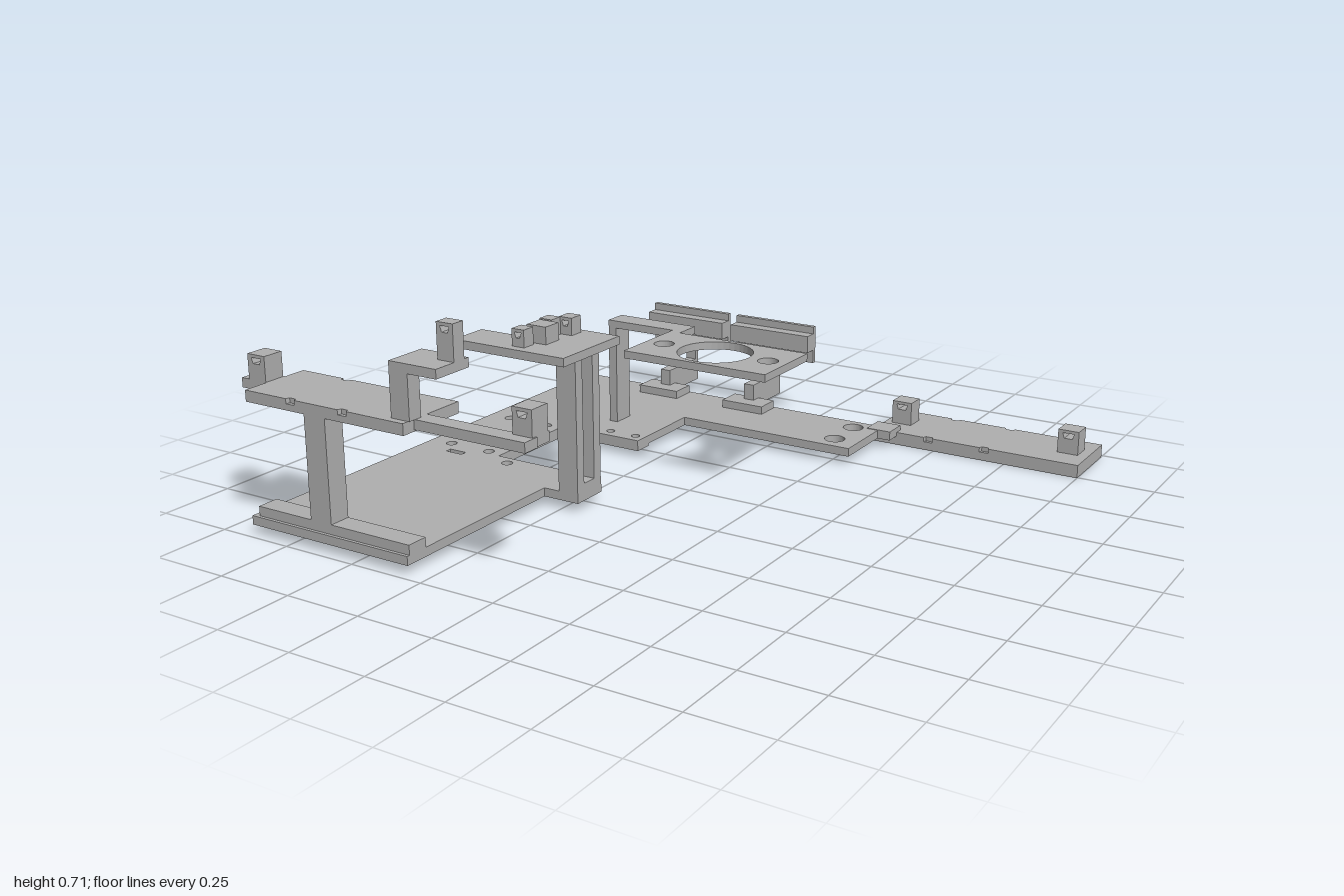
import * as THREE from 'three';

const grey = new THREE.MeshStandardMaterial({ color: 0xb0b0b0 });
grey.name = 'light grey';

// Axis-aligned block given by its limits
function block(parent, name, x0, x1, y0, y1, z0, z1) {
  const mesh = new THREE.Mesh(new THREE.BoxGeometry(x1 - x0, y1 - y0, z1 - z0), grey);
  mesh.position.set((x0 + x1) / 2, (y0 + y1) / 2, (z0 + z1) / 2);
  mesh.name = name;
  parent.add(mesh);
}

const rect = (x0, x1, z0, z1) => [[x0, z0], [x1, z0], [x1, z1], [x0, z1]];
const toVectors = (points) => points.map(([a, b]) => new THREE.Vector2(a, b));

// Flat plate from an x/z outline; holes are [x, z, radius] or a list of corners
function plate(parent, name, outline, y0, y1, holes = []) {
  const shape = new THREE.Shape(toVectors(outline));
  for (const h of holes) {
    const path = new THREE.Path();
    if (Array.isArray(h[0])) path.setFromPoints(toVectors(h));
    else path.absarc(h[0], h[1], h[2], 0, Math.PI * 2, true);
    shape.holes.push(path);
  }
  const geo = new THREE.ExtrudeGeometry(shape, { depth: y1 - y0, bevelEnabled: false, curveSegments: 20 });
  geo.rotateX(Math.PI / 2).translate(0, y1, 0);
  const mesh = new THREE.Mesh(geo, grey);
  mesh.name = name;
  parent.add(mesh);
}

// Plate with shallow notches in the upper part of both long edges
function notchedPlate(parent, name, x0, x1, y0, y1, z0, z1, notches) {
  const top = [[x0, z0]];
  for (const x of notches) top.push([x - 0.016, z0], [x - 0.012, z0 + 0.012], [x + 0.012, z0 + 0.012], [x + 0.016, z0]);
  top.push([x1, z0], [x1, z1]);
  for (const x of [...notches].reverse()) top.push([x + 0.016, z1], [x + 0.012, z1 - 0.012], [x - 0.012, z1 - 0.012], [x - 0.016, z1]);
  top.push([x0, z1]);
  const split = y1 - 0.015;
  plate(parent, name, top, split, y1);
  block(parent, name + 'Underside', x0, x1, y0, split, z0, z1);
}

// Small upright lug with a window through it from front to back
function lug(parent, x0, x1, y0, y1, z0, z1) {
  const shape = new THREE.Shape(toVectors(rect(x0, x1, y0, y1)));
  const inset = (x1 - x0) * 0.22;
  shape.holes.push(new THREE.Path(toVectors([
    [x0 + inset, y1 - 0.01], [x1 - inset, y1 - 0.01],
    [x1 - inset - 0.006, y1 - 0.028], [x0 + inset + 0.006, y1 - 0.028],
  ])));
  const geo = new THREE.ExtrudeGeometry(shape, { depth: z1 - z0, bevelEnabled: false });
  geo.translate(0, 0, z0);
  const mesh = new THREE.Mesh(geo, grey);
  mesh.name = 'lug';
  parent.add(mesh);
}

function part(root, name) {
  const g = new THREE.Group();
  g.name = name;
  root.add(g);
  return g;
}

export function createModel() {
  const root = new THREE.Group();
  root.name = 'bracketAssembly';

  // Base: front sheet, thicker middle with a cut-out, and back sheet with side arm
  const base = part(root, 'base');
  plate(base, 'frontSheet', rect(-0.9, -0.31, 0.27, 0.98), 0.03, 0.058);
  plate(base, 'middleSheet',
    [[-0.9, -0.24], [-0.31, -0.24], [-0.31, -0.175], [-0.61, -0.175], [-0.61, 0.185], [-0.31, 0.185], [-0.31, 0.27], [-0.9, 0.27]],
    0.022, 0.058,
    [[-0.82, -0.15, 0.018], [-0.665, -0.15, 0.018], [-0.82, 0.165, 0.018], [-0.665, 0.165, 0.018],
      [-0.545, -0.213, 0.018], [-0.445, -0.215, 0.014], [-0.345, -0.215, 0.014], [-0.545, 0.225, 0.018],
      rect(-0.785, -0.722, -0.222, -0.2), rect(-0.785, -0.722, 0.214, 0.236)]);
  plate(base, 'backSheet',
    [[-0.9, -0.735], [0.32, -0.735], [0.32, -0.47], [-0.31, -0.47], [-0.31, -0.24], [-0.9, -0.24]],
    0.03, 0.058, [[0.235, -0.677, 0.034], [0.235, -0.538, 0.034]]);
  plate(base, 'cornerLink', rect(0.28, 0.365, -0.775, -0.69), 0.03, 0.06);
  block(base, 'frameTab', -0.31, -0.185, 0.03, 0.058, 0.22, 0.345);

  // Outlying low plate with two lugs
  const outer = part(root, 'outerPlate');
  notchedPlate(outer, 'outerSheet', 0.28, 1, 0, 0.043, -0.985, -0.745, [0.48, 0.68]);
  for (const x of [0.305, 0.897]) lug(outer, x, x + 0.07, 0.043, 0.122, -0.905, -0.838);

  // Front bridge on its post
  const bridge = part(root, 'frontBridge');
  block(bridge, 'bridgeFoot', -0.88, -0.31, 0.058, 0.088, 0.9, 0.97);
  block(bridge, 'bridgePost', -0.675, -0.597, 0.088, 0.405, 0.9, 0.97);
  notchedPlate(bridge, 'bridgeTop', -0.9, -0.31, 0.405, 0.44, 0.735, 0.97, [-0.725, -0.53]);
  block(bridge, 'rightTab', -1, -0.9, 0.41, 0.44, 0.81, 0.885);
  lug(bridge, -0.97, -0.903, 0.44, 0.518, 0.815, 0.885);
  block(bridge, 'leftArm', -0.31, 0.065, 0.41, 0.44, 0.87, 0.925);
  block(bridge, 'leftArmEnd', -0.005, 0.06, 0.41, 0.44, 0.81, 0.87);
  lug(bridge, -0.005, 0.06, 0.44, 0.518, 0.815, 0.885);
  block(bridge, 'upperPost', -0.37, -0.305, 0.44, 0.575, 0.9, 0.948);
  block(bridge, 'upperShelf', -0.37, -0.205, 0.575, 0.603, 0.81, 0.948);
  lug(bridge, -0.262, -0.205, 0.603, 0.71, 0.828, 0.872);

  // Open frame carrying an L-shaped table with small blocks
  const table = part(root, 'middleTable');
  for (const z of [0.222, 0.31]) block(table, 'frameUpright', -0.255, -0.185, 0.03, 0.478, z, z + 0.035);
  block(table, 'frameSill', -0.255, -0.185, 0.03, 0.085, 0.257, 0.31);
  plate(table, 'tableTop',
    [[-0.455, 0.118], [-0.18, 0.118], [-0.18, 0.41], [-0.588, 0.41], [-0.588, 0.275], [-0.455, 0.275]], 0.478, 0.505);
  lug(table, -0.352, -0.305, 0.505, 0.56, 0.143, 0.192);
  lug(table, -0.39, -0.345, 0.505, 0.56, 0.195, 0.24);
  block(table, 'tableBlock', -0.38, -0.31, 0.505, 0.56, 0.252, 0.318);
  lug(table, -0.39, -0.345, 0.505, 0.56, 0.333, 0.38);

  // Raised ring plate held by a cranked arm
  const ring = part(root, 'ringBracket');
  block(ring, 'ringPost', -0.51, -0.48, 0.058, 0.39, -0.385, -0.307);
  plate(ring, 'ringPlate',
    [[-0.51, -0.385], [-0.217, -0.385], [-0.217, -0.29], [0.255, -0.29], [0.255, -0.017], [-0.255, -0.017], [-0.255, -0.307], [-0.51, -0.307]],
    0.39, 0.415, [[0, -0.153, 0.121], [-0.19, -0.153, 0.033], [0.19, -0.153, 0.033]]);

  // Two back panels on cranked stems
  for (const [x0, x1, stem, foot] of [[-0.685, -0.37, -0.547, -0.605], [-0.335, -0.023, -0.2, -0.257]]) {
    const rack = part(root, 'backRack');
    block(rack, 'rackFoot', foot, foot + 0.157, 0.058, 0.085, -0.725, -0.638);
    block(rack, 'rackStem', stem, stem + 0.038, 0.06, 0.14, -0.885, -0.69);
    block(rack, 'rackRiser', stem, stem + 0.038, 0.14, 0.2, -0.885, -0.868);
    block(rack, 'rackPanel', x0, x1, 0.198, 0.33, -0.885, -0.868);
    block(rack, 'rackLedge', x0, x1, 0.245, 0.305, -0.868, -0.825);
  }
  return root;
}
